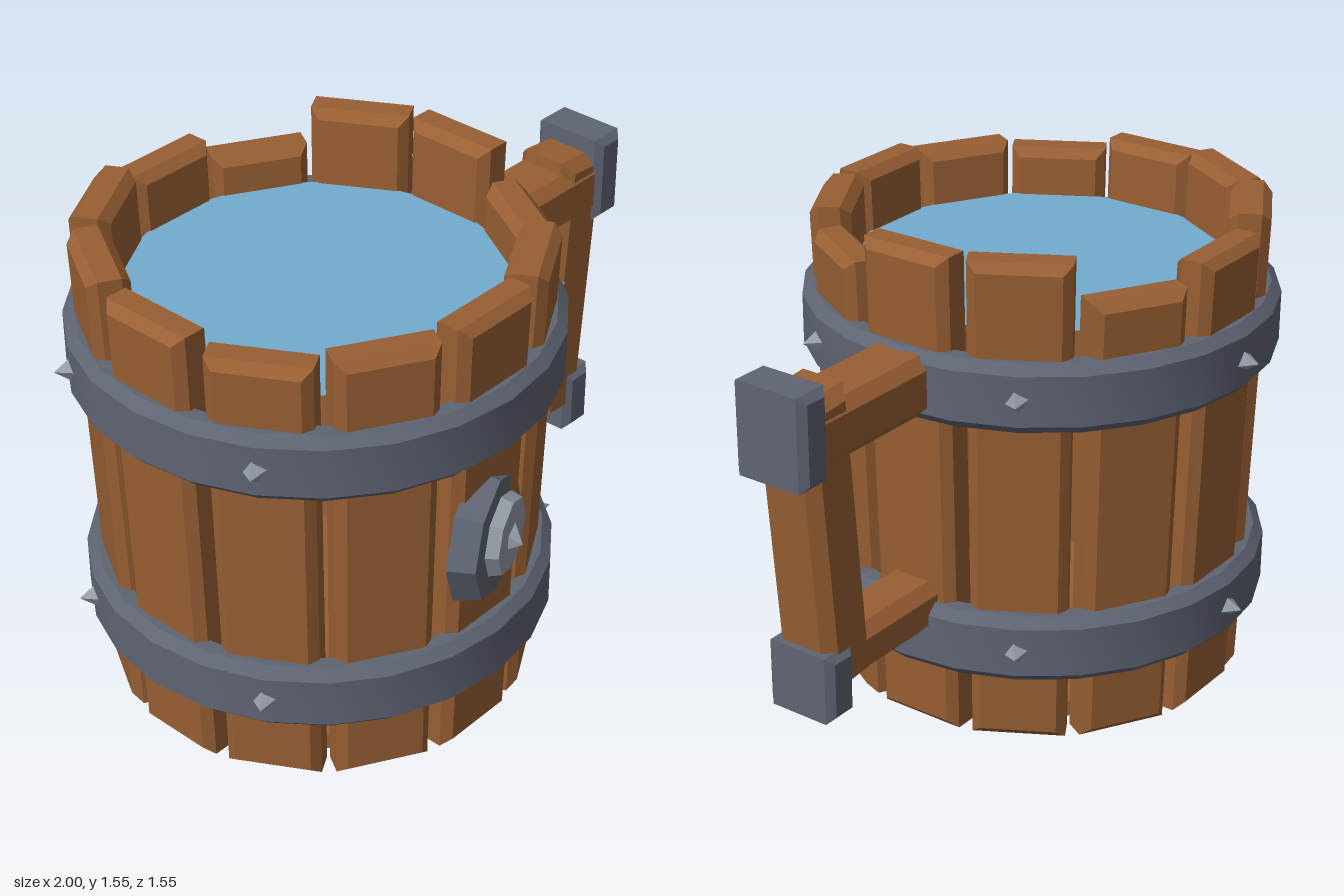
import * as THREE from 'three';
import { toCreasedNormals } from 'three/addons/utils/BufferGeometryUtils.js';

const material = (name, color) => {
  const m = new THREE.MeshStandardMaterial({ color });
  m.name = name;
  return m;
};

// Box with chamfered edges, centred on its origin
function bevelBox(w, h, d, b) {
  const x = w / 2 - b, y = h / 2 - b;
  const shape = new THREE.Shape([
    new THREE.Vector2(-x, -y), new THREE.Vector2(x, -y),
    new THREE.Vector2(x, y), new THREE.Vector2(-x, y),
  ]);
  const geo = new THREE.ExtrudeGeometry(shape, {
    depth: d - 2 * b, bevelThickness: b, bevelSize: b, bevelSegments: 1,
  });
  return geo.translate(0, 0, b - d / 2);
}

export function createModel() {
  const wood = material('wood', 0x985f33);
  const iron = material('dark iron', 0x5f6473);
  const steel = material('light steel', 0x929aa4);
  const drink = material('blue drink', 0x72acce);

  const model = new THREE.Group();
  model.name = 'tankard';
  const add = (parent, name, geo, mat, x = 0, y = 0, z = 0) => {
    const mesh = new THREE.Mesh(geo, mat);
    mesh.name = name;
    mesh.position.set(x, y, z);
    parent.add(mesh);
    return mesh;
  };

  const barrel = new THREE.Group();
  barrel.name = 'barrel';
  barrel.position.x = -0.275;
  model.add(barrel);

  // Staves of uneven height, from the front round towards the handle
  const heights = [1.5, 1.5, 1.45, 1.55, 1.55, 1.43, 1.49, 1.53, 1.52, 1.5, 1.46, 1.48];
  heights.forEach((h, i) => {
    const geo = bevelBox(0.3, h, 0.125, 0.028).translate(0, h / 2, 0);
    const p = geo.attributes.position;
    for (let k = 0; k < p.count; k++) {
      const t = p.getY(k) / 1.5;
      p.setX(k, p.getX(k) * (0.94 + 0.06 * t));
      p.setZ(k, p.getZ(k) + 0.576 + 0.047 * t); // lean outwards to the top
    }
    geo.computeVertexNormals();
    add(barrel, 'stave', geo, wood).rotation.y = i * Math.PI / 6;
  });

  // Base and liquid
  add(barrel, 'base', new THREE.CylinderGeometry(0.545, 0.545, 0.05, 24), wood, 0, 0.045, 0);
  const surface = new THREE.CircleGeometry(0.575, 32).rotateX(-Math.PI / 2);
  add(barrel, 'liquid', surface, drink, 0, 1.31, 0);

  // Hoops with their pyramid studs
  const hoops = [
    { y0: 1.05, y1: 1.265, r: 0.727 },
    { y0: 0.23, y1: 0.445, r: 0.71 },
  ];
  for (const { y0, y1, r } of hoops) {
    const c = 0.03, inner = r - 0.075;
    const profile = [
      [inner, y0], [r - c, y0], [r, y0 + c], [r, y1 - c],
      [r - c, y1], [inner, y1], [inner, y0],
    ].map(([x, y]) => new THREE.Vector2(x, y));
    add(barrel, 'hoop', toCreasedNormals(new THREE.LatheGeometry(profile, 24), 0.5), iron);
    for (const deg of [60, 120, 180, 240, 300]) {
      const stud = new THREE.ConeGeometry(0.042, 0.06, 4)
        .rotateY(0.25).rotateX(Math.PI / 2).translate(0, (y0 + y1) / 2, r + 0.015);
      add(barrel, 'stud', toCreasedNormals(stud, 0.3), steel).rotation.y = deg * Math.PI / 180;
    }
  }

  // Round boss on the front, turned slightly towards the handle
  const boss = new THREE.Group();
  boss.name = 'boss';
  boss.position.set(-0.275, 0.755, 0.69);
  boss.rotation.y = 0.35;
  model.add(boss);
  const disc = (top, bottom, h) => toCreasedNormals(
    new THREE.CylinderGeometry(top, bottom, h, 8).rotateX(Math.PI / 2), 0.3);
  add(boss, 'bossRim', disc(0.19, 0.212, 0.08), iron, 0, 0, -0.035);
  add(boss, 'bossPlate', disc(0.115, 0.13, 0.045), steel, 0.01, 0, 0.02);
  const spike = new THREE.ConeGeometry(0.05, 0.06, 4)
    .rotateY(Math.PI / 4).rotateX(Math.PI / 2);
  add(model, 'bossSpike', toCreasedNormals(spike, 0.3), steel, -0.263, 0.755, 0.745);

  // Handle: two arms, a leaning grip and two end caps
  const handle = new THREE.Group();
  handle.name = 'handle';
  model.add(handle);
  add(handle, 'upperArm', bevelBox(0.58, 0.185, 0.22, 0.035), wood, 0.63, 1.16, 0);
  add(handle, 'lowerArm', bevelBox(0.5, 0.155, 0.19, 0.035), wood, 0.58, 0.425, 0);
  const grip = add(handle, 'grip', bevelBox(0.195, 0.94, 0.21, 0.035), wood, 0.815, 0.815, 0);
  grip.rotation.z = -0.085;
  add(handle, 'upperCap', bevelBox(0.115, 0.285, 0.255, 0.022), iron, 0.937, 1.192, 0);
  add(handle, 'lowerCap', bevelBox(0.115, 0.215, 0.24, 0.022), iron, 0.848, 0.388, 0);

  return model;
}
